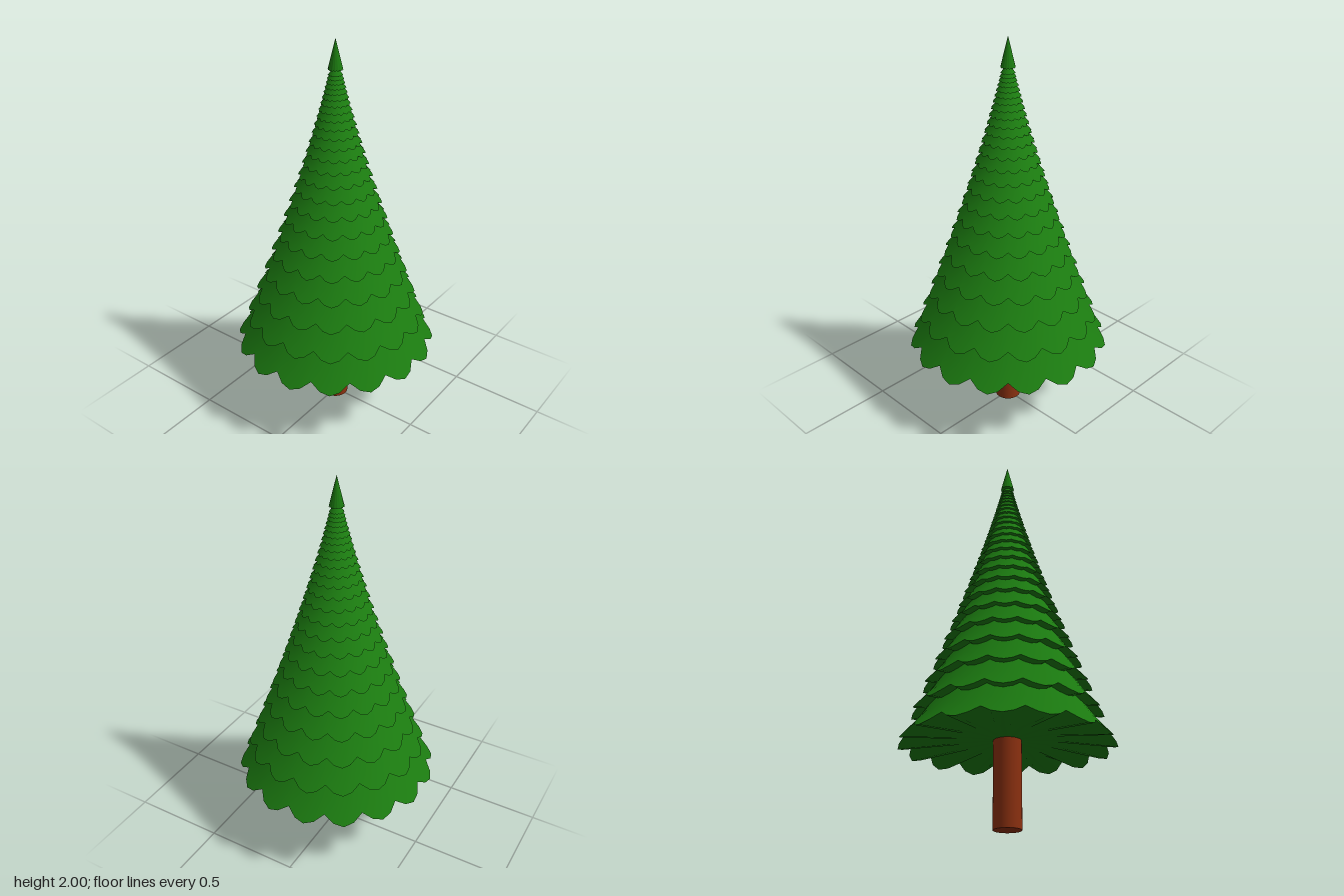
import * as THREE from 'three';
import { mergeGeometries } from 'three/addons/utils/BufferGeometryUtils.js';

const SEGMENTS = 64, LOBES = 16, TIERS = 24, TOP = 2;

// Surface through rings [radius, height, flute], where flute is the strength of the scallops.
function flutedSurface(rings, R, y0) {
  const pos = [], index = [], row = SEGMENTS + 1;
  rings.forEach(([r, h, flute]) => {
    for (let j = 0; j <= SEGMENTS; j++) {
      const a = (j / SEGMENTS) * Math.PI * 2;
      const notch = flute * (1 - Math.abs(Math.sin(a * LOBES / 2)));
      const rad = R * r * (1 - 0.075 * notch);
      pos.push(rad * Math.sin(a), y0 + R * (h + 0.085 * notch), rad * Math.cos(a));
    }
  });
  for (let i = 0; i < rings.length - 1; i++) {
    for (let j = 0; j < SEGMENTS; j++) {
      const a = i * row + j, b = a + 1, c = b + row, d = a + row;
      index.push(a, b, c, a, c, d);
    }
  }
  const g = new THREE.BufferGeometry();
  g.setAttribute('position', new THREE.Float32BufferAttribute(pos, 3));
  g.setIndex(index);
  g.computeVertexNormals();
  return g;
}

// One skirt of branches: flared upper skin plus ridged underside.
function branchTier(R, y0, profile) {
  const skin = flutedSurface(profile, R, y0);
  const underside = flutedSurface([[0.001, 0.07, 0], [0.43, 0.065, 0], [1, 0, 1]], R, y0);
  return mergeGeometries([skin, underside]);
}

export function createModel() {
  const tree = new THREE.Group();
  tree.name = 'tree';
  const green = new THREE.MeshStandardMaterial({ color: 0x1b7a10, side: THREE.DoubleSide });
  const brown = new THREE.MeshStandardMaterial({ color: 0x8b3010 });

  // Trunk
  const trunk = new THREE.Mesh(new THREE.CylinderGeometry(0.068, 0.068, 0.43, 32), brown);
  trunk.position.y = 0.215;
  trunk.name = 'trunk';
  tree.add(trunk);

  // Overlapping tiers that shrink towards the top
  const flare = [[1, 0, 1], [0.86, 0.16, 0.8], [0.75, 0.32, 0.6], [0.45, 0.75, 0.2], [0.001, 1.3, 0]];
  for (let i = 0; i < TIERS; i++) {
    const drop = 1.615 * Math.pow(0.907, i);
    const R = 0.295 * Math.pow(drop, 1.2);
    const tier = new THREE.Mesh(branchTier(R, TOP - drop, flare), green);
    tier.name = 'branchTier' + (i + 1);
    tree.add(tier);
  }

  // Pointed tip
  const tip = new THREE.Mesh(branchTier(0.036, 1.855, [[1, 0, 1], [0.5, 2.01, 0.3], [0.001, 4.03, 0]]), green);
  tip.name = 'treeTip';
  tree.add(tip);
  return tree;
}
